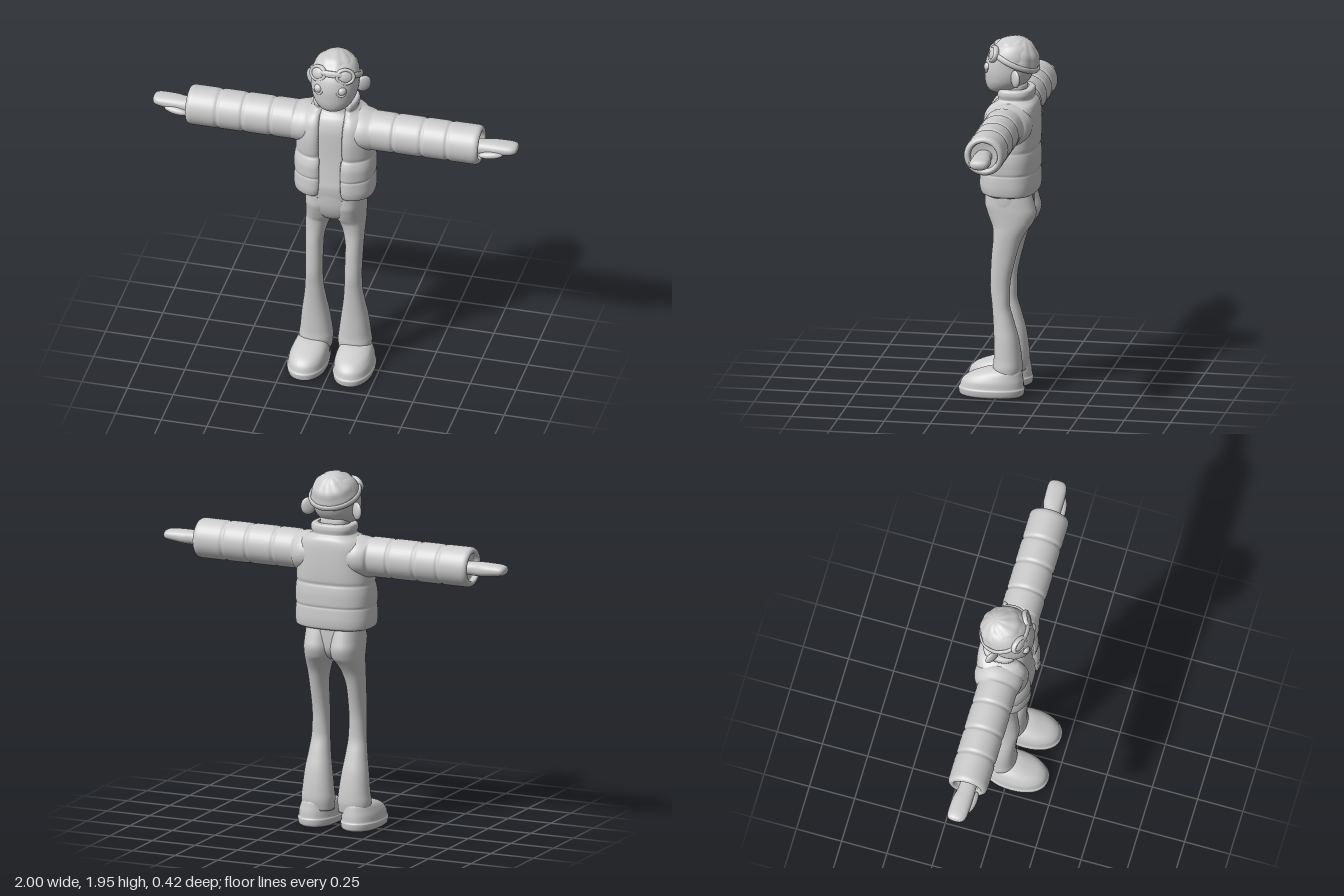
import * as THREE from 'three';

const material = new THREE.MeshStandardMaterial({ color: 0xcccccc, roughness: 0.8 });

function makeMesh(name, geometry) {
  const m = new THREE.Mesh(geometry, material);
  m.name = name;
  return m;
}

function buildGeometry(points, index) {
  const g = new THREE.BufferGeometry();
  g.setAttribute('position', new THREE.Float32BufferAttribute(points, 3));
  g.setIndex(index);
  g.computeVertexNormals();
  return g;
}

// Monotone interpolation of every column between rows
function smooth(rows, steps = 5) {
  const out = [];
  const slope = (i, k) => {
    if (i === 0) return rows[1][k] - rows[0][k];
    if (i === rows.length - 1) return rows[i][k] - rows[i - 1][k];
    const a = rows[i][k] - rows[i - 1][k], b = rows[i + 1][k] - rows[i][k];
    return a * b > 0 ? (2 * a * b) / (a + b) : 0;
  };
  for (let i = 0; i < rows.length - 1; i++) {
    for (let s = 0; s < steps; s++) {
      const t = s / steps, t2 = t * t, t3 = t2 * t;
      out.push(rows[i].map((v, k) => (2 * t3 - 3 * t2 + 1) * v + (t3 - 2 * t2 + t) * slope(i, k)
        + (3 * t2 - 2 * t3) * rows[i + 1][k] + (t3 - t2) * slope(i + 1, k)));
    }
  }
  out.push(rows[rows.length - 1]);
  return out;
}

const power = (v, e) => Math.sign(v) * Math.abs(v) ** (2 / e);

// Capped loft. Rows along y: [y, xMin, xMax, zMin, zMax]; along x: [x, zMin, zMax, yMin, yMax]
function loft(name, rows, { axis = 'y', e = 2, n = 36 } = {}) {
  const pts = [], idx = [], rings = smooth(rows);
  const put = (u, t, v) => (axis === 'y' ? pts.push(u, t, v) : pts.push(t, v, u));
  for (const [t, u0, u1, v0, v1] of rings) {
    for (let j = 0; j < n; j++) {
      const a = (j / n) * Math.PI * 2;
      put((u0 + u1) / 2 + (u1 - u0) / 2 * power(Math.sin(a), e), t, (v0 + v1) / 2 + (v1 - v0) / 2 * power(Math.cos(a), e));
    }
  }
  const last = rings.length - 1, bottom = rings.length * n;
  for (const [t, u0, u1, v0, v1] of [rings[0], rings[last]]) put((u0 + u1) / 2, t, (v0 + v1) / 2);
  for (let j = 0; j < n; j++) {
    const k = (j + 1) % n;
    for (let i = 0; i < last; i++) {
      const a = i * n + j, b = i * n + k;
      idx.push(a, b, b + n, a, b + n, a + n);
    }
    idx.push(bottom, k, j, bottom + 1, last * n + j, last * n + k);
  }
  return makeMesh(name, buildGeometry(pts, idx));
}

// Open-fronted shell with thickness. Rows: [y, halfWidth, zBack, zFront, halfGap]
function openShell(name, rows, thickness) {
  const M = 72, N = M * 2, e = 2.6, pts = [], idx = [], rings = smooth(rows);
  for (const [y, rx, zb, zf, gap] of rings) {
    const g = Math.asin((gap / rx) ** (e / 2));
    for (let j = 0; j < N; j++) {
      const o = j < M ? j : N - 1 - j;
      const a = g + (2 * Math.PI - 2 * g) * o / (M - 1);
      const edge = Math.max(0, 1 - Math.min(o, M - 1 - o) / 3) ** 2;
      const d = j < M ? edge * 0.012 : thickness;
      pts.push((rx - d * (j < M ? 0 : 1)) * power(Math.sin(a), e), y,
        (zb + zf) / 2 + ((zf - zb) / 2 - d) * power(Math.cos(a), e));
    }
  }
  const top = (rings.length - 1) * N;
  for (let j = 0; j < N; j++) {
    const k = (j + 1) % N;
    for (let i = 0; i < rings.length - 1; i++) {
      const a = i * N + j, b = i * N + k;
      idx.push(a, b, b + N, a, b + N, a + N);
    }
  }
  for (let j = 0; j < M - 1; j++) {
    const a = j, b = j + 1, c = N - 2 - j, d = N - 1 - j;
    idx.push(a, c, b, a, d, c, top + a, top + b, top + c, top + a, top + c, top + d);
  }
  return makeMesh(name, buildGeometry(pts, idx));
}

function place(m, [x, y, z], [rx, ry, rz] = [0, 0, 0], [sx, sy, sz] = [1, 1, 1]) {
  m.position.set(x, y, z);
  m.rotation.set(rx, ry, rz);
  m.scale.set(sx, sy, sz);
  return m;
}

// Adds a left part and its mirrored right twin
function addPair(group, mesh) {
  mesh.updateMatrix();
  const left = mesh.geometry.clone().applyMatrix4(mesh.matrix);
  const right = left.clone().scale(-1, 1, 1);
  const ix = right.index.array;
  for (let i = 0; i < ix.length; i += 3) [ix[i], ix[i + 1]] = [ix[i + 1], ix[i]];
  right.computeVertexNormals();
  const cap = mesh.name[0].toUpperCase() + mesh.name.slice(1);
  group.add(makeMesh('left' + cap, left), makeMesh('right' + cap, right));
}

export function createModel() {
  const model = new THREE.Group();
  model.name = 'figure';
  const ball = (name, pos, scale, rot) => place(makeMesh(name, new THREE.SphereGeometry(1, 28, 20)), pos, rot, scale);

  // Flared trousers
  addPair(model, loft('trouserLeg', [
    [0.09, 0.02, 0.19, -0.115, 0.02], [0.15, 0.015, 0.198, -0.125, 0.03], [0.2, 0.02, 0.192, -0.122, 0.026],
    [0.3, 0.033, 0.182, -0.108, 0.026], [0.4, 0.048, 0.167, -0.082, 0.03], [0.5, 0.058, 0.156, -0.058, 0.037],
    [0.6, 0.062, 0.153, -0.06, 0.046], [0.75, 0.062, 0.156, -0.09, 0.04], [0.85, 0.045, 0.16, -0.12, 0.032],
    [0.91, 0.02, 0.162, -0.155, 0.035], [0.95, -0.004, 0.162, -0.182, 0.05], [1.0, -0.008, 0.162, -0.196, 0.068],
    [1.05, -0.008, 0.16, -0.185, 0.08], [1.12, -0.008, 0.155, -0.165, 0.08]], { e: 2.2 }));
  model.add(loft('trouserSeat', [
    [0.925, -0.03, 0.03, -0.1, 0.0], [0.95, -0.09, 0.09, -0.14, 0.04], [1.0, -0.152, 0.152, -0.165, 0.07],
    [1.06, -0.161, 0.161, -0.168, 0.085], [1.14, -0.16, 0.16, -0.168, 0.09]], { e: 2.3 }));

  // Shoes
  addPair(model, loft('shoe', [
    [0, 0.035, 0.215, -0.125, 0.195], [0.012, 0.02, 0.23, -0.138, 0.21], [0.04, 0.016, 0.235, -0.142, 0.214],
    [0.05, 0.02, 0.23, -0.137, 0.208], [0.08, 0.022, 0.226, -0.135, 0.198], [0.11, 0.028, 0.215, -0.13, 0.168],
    [0.135, 0.04, 0.2, -0.125, 0.11], [0.152, 0.06, 0.175, -0.11, 0.055], [0.158, 0.09, 0.14, -0.06, 0.01]], { e: 2.2 }));

  // Shirt and neck
  model.add(loft('shirt', [
    [1.09, -0.16, 0.16, -0.165, 0.085], [1.17, -0.175, 0.175, -0.17, 0.094], [1.22, -0.175, 0.175, -0.17, 0.088],
    [1.35, -0.17, 0.17, -0.17, 0.075], [1.5, -0.16, 0.16, -0.17, 0.07], [1.58, -0.12, 0.12, -0.15, 0.045],
    [1.61, -0.085, 0.085, -0.14, 0.015], [1.7, -0.075, 0.075, -0.13, 0.0]], { e: 2.5 }));

  // Padded open jacket with standing collar
  model.add(openShell('jacket', [
    [1.105, 0.203, -0.188, 0.092, 0.09], [1.115, 0.215, -0.198, 0.106, 0.075], [1.16, 0.22, -0.203, 0.115, 0.066],
    [1.215, 0.217, -0.2, 0.112, 0.064], [1.225, 0.215, -0.198, 0.109, 0.064], [1.24, 0.218, -0.202, 0.113, 0.064],
    [1.29, 0.219, -0.203, 0.112, 0.064], [1.335, 0.214, -0.199, 0.1, 0.066], [1.35, 0.211, -0.195, 0.093, 0.07],
    [1.37, 0.212, -0.2, 0.098, 0.072], [1.45, 0.208, -0.203, 0.104, 0.072], [1.54, 0.2, -0.2, 0.09, 0.074],
    [1.59, 0.165, -0.192, 0.06, 0.078], [1.608, 0.13, -0.18, 0.038, 0.08], [1.62, 0.118, -0.17, 0.03, 0.08],
    [1.645, 0.124, -0.174, 0.034, 0.08], [1.665, 0.12, -0.171, 0.031, 0.084], [1.672, 0.112, -0.163, 0.023, 0.086]], 0.025));

  // Quilted sleeves with hollow cuffs
  const sleeveRow = (x, r) => [x, -0.044 - r, -0.044 + r, 1.497 - r, 1.497 + r];
  const sleeve = [[0.08, -0.18, 0.06, 1.41, 1.6], [0.15, -0.188, 0.078, 1.385, 1.608]];
  const creases = [0.205, 0.335, 0.49, 0.63, 0.795];
  sleeve.push([0.205, -0.17, 0.068, 1.386, 1.6]);
  for (let i = 0; i < creases.length - 1; i++) {
    const a = creases[i], w = creases[i + 1] - a;
    if (i) sleeve.push(sleeveRow(a, 0.1025));
    for (const f of [0.14, 0.5, 0.86]) sleeve.push(sleeveRow(a + w * f, 0.108));
  }
  for (const [x, r] of [[0.795, 0.101], [0.802, 0.088], [0.798, 0.077], [0.77, 0.072]]) sleeve.push(sleeveRow(x, r));
  addPair(model, loft('sleeve', sleeve, { axis: 'x' }));

  // Mitten-like hands
  addPair(model, loft('hand', [
    [0.74, -0.085, 0.0, 1.46, 1.525], [0.82, -0.09, 0.005, 1.455, 1.53], [0.88, -0.102, 0.005, 1.458, 1.532],
    [0.95, -0.104, 0.002, 1.468, 1.53], [0.98, -0.1, -0.006, 1.473, 1.526], [0.995, -0.085, -0.022, 1.483, 1.517],
    [1.0, -0.062, -0.045, 1.495, 1.505]], { axis: 'x', e: 2.3 }));
  addPair(model, ball('thumb', [0.862, 1.473, 0.004], [0.066, 0.02, 0.023], [0, 0.12, 0.1]));

  // Head
  model.add(loft('head', [
    [1.637, -0.012, 0.012, 0.01, 0.04], [1.642, -0.04, 0.04, -0.02, 0.056], [1.655, -0.07, 0.07, -0.06, 0.073],
    [1.68, -0.097, 0.097, -0.11, 0.087], [1.72, -0.118, 0.118, -0.15, 0.094], [1.77, -0.127, 0.127, -0.172, 0.095],
    [1.83, -0.128, 0.128, -0.182, 0.083], [1.88, -0.115, 0.115, -0.17, 0.052], [1.915, -0.085, 0.085, -0.14, 0.015],
    [1.93, -0.02, 0.02, -0.08, -0.04]], { e: 2.1 }));
  addPair(model, ball('ear', [0.142, 1.748, -0.095], [0.042, 0.048, 0.017], [0, 0.65, 0]));
  addPair(model, ball('eye', [0.063, 1.788, 0.066], [0.025, 0.025, 0.024]));
  addPair(model, place(makeMesh('lowerEyelid', new THREE.TorusGeometry(0.021, 0.008, 10, 20, Math.PI)),
    [0.063, 1.784, 0.078], [0, 0.3, Math.PI]));

  // Wavy hair dome, tilted so the hairline drops towards the back
  const dome = new THREE.SphereGeometry(1, 60, 30, 0, Math.PI * 2, 0, Math.PI * 0.52);
  const p = dome.attributes.position, v = new THREE.Vector3();
  for (let i = 0; i < p.count; i++) {
    v.fromBufferAttribute(p, i);
    const around = Math.atan2(v.x, v.z), rim = Math.hypot(v.x, v.z);
    v.multiplyScalar(0.98 + 0.045 * rim * Math.abs(Math.sin(around * 5 + v.y * 1.5)) + 0.012 * Math.sin(v.y * 14));
    p.setXYZ(i, v.x, v.y, v.z);
  }
  dome.computeVertexNormals();
  model.add(place(makeMesh('hair', dome), [0, 1.818, -0.066], [-0.43, 0, 0], [0.125, 0.131, 0.13]));

  // Goggles pushed up on the forehead, with strap
  const strap = new THREE.TorusGeometry(0.134, 0.009, 12, 64).rotateX(Math.PI / 2).scale(1, 1.7, 1.02);
  model.add(place(makeMesh('goggleStrap', strap), [0, 1.825, -0.066], [-0.43, 0, 0]));
  const lensPos = [0.073, 1.862, 0.036], lensRot = [-0.35, 0.4, 0];
  addPair(model, place(makeMesh('goggleFrame', new THREE.TorusGeometry(0.04, 0.01, 12, 36)), lensPos, lensRot, [1.12, 0.93, 1.5]));
  addPair(model, ball('goggleLens', lensPos, [0.042, 0.036, 0.019], lensRot));
  model.add(place(makeMesh('goggleBridge', new THREE.CapsuleGeometry(0.012, 0.04, 6, 14)),
    [0, 1.872, 0.057], [0, 0, Math.PI / 2]));
  return model;
}
